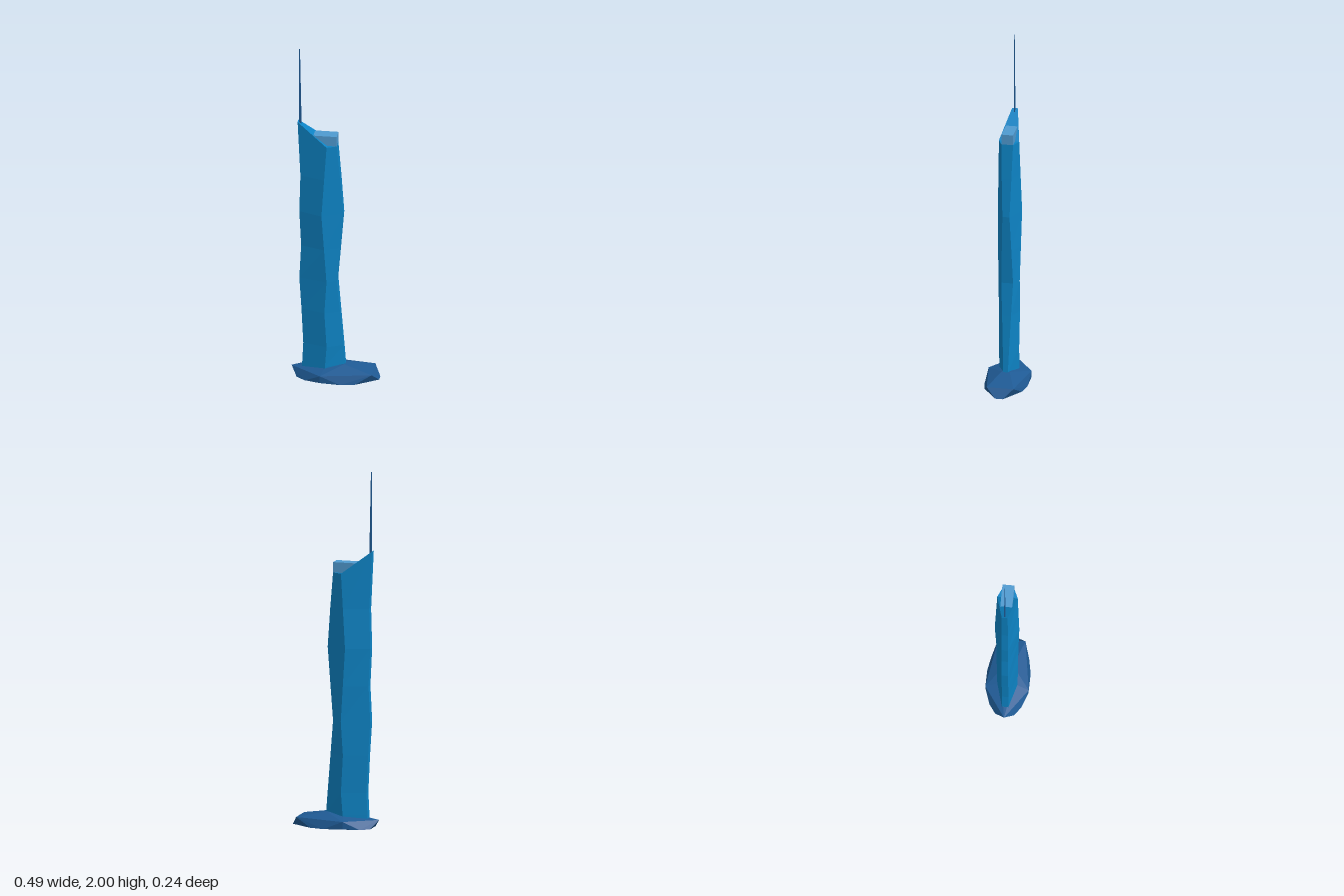
import * as THREE from 'three';
import { ConvexGeometry } from 'three/addons/geometries/ConvexGeometry.js';

function addPart(group, name, geometry, color) {
  const material = new THREE.MeshStandardMaterial({ color, flatShading: true });
  const mesh = new THREE.Mesh(geometry, material);
  mesh.name = name;
  group.add(mesh);
  return mesh;
}

// Loft six-sided rings from bottom to top, closing both ends.
function loftTower(rings) {
  const positions = [];
  const tri = (a, b, c) => positions.push(...a, ...b, ...c);
  for (let r = 0; r < rings.length - 1; r++) {
    for (let i = 0; i < 6; i++) {
      const j = (i + 1) % 6;
      const lo = rings[r], hi = rings[r + 1];
      tri(lo[i], lo[j], hi[j]);
      tri(lo[i], hi[j], hi[i]);
    }
  }
  const top = rings[rings.length - 1], bottom = rings[0];
  for (const [a, b, c] of [[0, 1, 2], [0, 2, 5], [5, 2, 3], [5, 3, 4]]) {
    tri(top[a], top[b], top[c]);
    tri(bottom[a], bottom[c], bottom[b]);
  }
  const geometry = new THREE.BufferGeometry();
  geometry.setAttribute('position', new THREE.Float32BufferAttribute(positions, 3));
  geometry.computeVertexNormals();
  return geometry;
}

// Mirror a list of [x, y, z] points across z = 0.
function mirrored(points) {
  return points.flatMap(([x, y, z]) => [new THREE.Vector3(x, y, z), new THREE.Vector3(x, y, -z)]);
}

export function createModel() {
  const group = new THREE.Group();

  // Base: a faceted, pebble-like podium
  addPart(group, 'podium', new ConvexGeometry(mirrored([
    [-0.245, 0.05, 0.001], [-0.072, 0.05, 0.12], [0.21, 0.054, 0.075],
    [0.05, 0.085, 0.022], [-0.05, 0.075, 0.03],
    [-0.21, 0.004, 0.052], [-0.16, 0.004, 0.088], [-0.072, 0.008, 0.119],
    [0.04, 0.004, 0.12], [0.12, 0.004, 0.105], [0.245, 0.004, 0.022],
  ])), 0x1f5a94);

  // Tower: [y, back x, back z, middle x, middle z, front x, front z]
  const sections = [
    [0, -0.187, 0.018, -0.056, 0.055, 0.06, 0.012],
    [0.08, -0.184, 0.018, -0.052, 0.056, 0.056, 0.013],
    [0.2, -0.178, 0.018, -0.043, 0.057, 0.046, 0.017],
    [0.41, -0.188, 0.018, -0.055, 0.059, 0.027, 0.025],
    [0.6, -0.2, 0.018, -0.043, 0.06, 0.01, 0.033],
    [0.8, -0.19, 0.018, -0.056, 0.064, 0.027, 0.027],
    [1.01, -0.2, 0.018, -0.07, 0.068, 0.045, 0.02],
    [1.23, -0.194, 0.018, -0.056, 0.062, 0.028, 0.027],
    [1.43, -0.21, 0.016, -0.043, 0.057, 0.01, 0.033],
  ];
  const rings = sections.map(([y, bx, bz, mx, mz, fx, fz], i) => {
    const backY = i === sections.length - 1 ? 1.557 : y; // sloping crown
    return [[bx, backY, -bz], [bx, backY, bz], [mx, y, mz], [fx, y, fz], [fx, y, -fz], [mx, y, -mz]];
  });
  addPart(group, 'tower', loftTower(rings), 0x0d83c4);

  // Rooftop room set into the sloping crown
  const room = addPart(group, 'rooftopRoom', new THREE.BoxGeometry(0.132, 0.07, 0.066), 0x4f9ad0);
  room.position.set(-0.056, 1.453, 0);

  // Mast: thin and tapering towards its tip
  addPart(group, 'mast', new ConvexGeometry(mirrored([
    [-0.203, 1.53, 0.003], [-0.19, 1.53, 0.003],
    [-0.203, 2, 0.002], [-0.199, 2, 0.002],
  ])), 0x1f5a94);

  return group;
}
